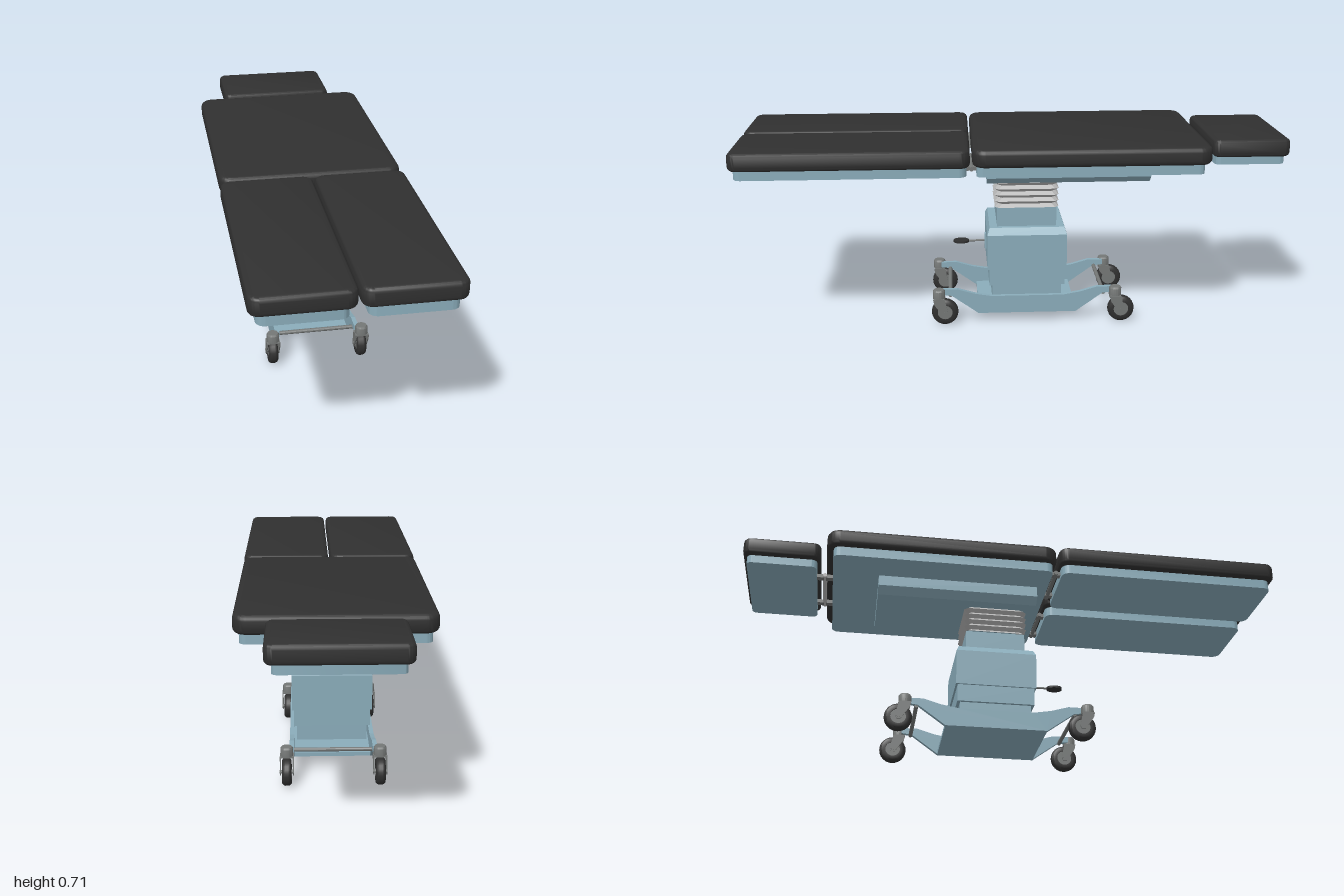
import * as THREE from 'three';
import { toCreasedNormals } from 'three/addons/utils/BufferGeometryUtils.js';

const mat = (name, color) => new THREE.MeshStandardMaterial({ name, color });

export function createModel() {
  const blue = mat('blue enamel', 0x8aacba);
  const black = mat('black vinyl', 0x303030);
  const pale = mat('pale bellows', 0xb4b4b4);
  const grey = mat('grey metal', 0x747776);
  const model = new THREE.Group();
  const CZ = -0.05; // centre of the pedestal along z

  function add(parent, name, geo, material, x = 0, y = 0, z = 0) {
    const m = new THREE.Mesh(geo, material);
    m.name = name;
    m.position.set(x, y, z);
    parent.add(m);
    return m;
  }
  // box given by its limits
  const box = (parent, name, material, x0, x1, y0, y1, z0, z1) =>
    add(parent, name, new THREE.BoxGeometry(x1 - x0, y1 - y0, z1 - z0), material,
      (x0 + x1) / 2, (y0 + y1) / 2, (z0 + z1) / 2);
  // rod lying along x
  const rod = (parent, name, material, r, len, x, y, z) => {
    const g = new THREE.CylinderGeometry(r, r, len, 14);
    g.rotateZ(Math.PI / 2);
    return add(parent, name, toCreasedNormals(g, 0.7), material, x, y, z);
  };

  // upright slab with rounded corners and optional soft edges
  function slab(name, material, x0, x1, y0, y1, z0, z1, r, bevel) {
    const a = x0 + bevel, b = x1 - bevel, c = -z1 + bevel, d = -z0 - bevel;
    const s = new THREE.Shape();
    s.moveTo(a + r, c);
    s.lineTo(b - r, c);
    s.absarc(b - r, c + r, r, -Math.PI / 2, 0);
    s.absarc(b - r, d - r, r, 0, Math.PI / 2);
    s.absarc(a + r, d - r, r, Math.PI / 2, Math.PI);
    s.absarc(a + r, c + r, r, Math.PI, Math.PI * 1.5);
    const g = new THREE.ExtrudeGeometry(s, {
      depth: y1 - y0 - 2 * bevel, curveSegments: 6, bevelEnabled: bevel > 0,
      bevelSize: bevel, bevelThickness: bevel, bevelSegments: 4,
    });
    g.rotateX(-Math.PI / 2);
    return add(model, name, toCreasedNormals(g, 0.7), material, 0, y0 + bevel, 0);
  }

  // cushions on their trays
  slab('mainCushion', black, -0.33, 0.33, 0.645, 0.71, -0.695, 0.155, 0.03, 0.018);
  slab('mainTray', blue, -0.31, 0.31, 0.61, 0.65, -0.67, 0.14, 0.025, 0);
  slab('headCushion', black, -0.222, 0.222, 0.645, 0.71, -1, -0.718, 0.012, 0.016);
  slab('headTray', blue, -0.2, 0.2, 0.615, 0.65, -0.985, -0.73, 0.02, 0);
  for (const s of [-1, 1]) {
    const span = (a, b) => (s > 0 ? [a, b] : [-b, -a]);
    slab('legCushion', black, ...span(0.004, 0.332), 0.645, 0.71, 0.163, 1, 0.02, 0.016);
    slab('legTray', blue, ...span(0.028, 0.308), 0.61, 0.65, 0.175, 0.985, 0.03, 0);
    // hinges between the sections
    rod(model, 'legHinge', grey, 0.008, 0.2, s * 0.17, 0.63, 0.157);
    for (const x of [0.09, 0.25])
      box(model, 'legHingeArm', grey, s * x - 0.012, s * x + 0.012, 0.623, 0.637, 0.13, 0.185);
    box(model, 'headHingeArm', grey, s * 0.1 - 0.012, s * 0.1 + 0.012, 0.623, 0.637, -0.74, -0.66);
  }
  rod(model, 'headHinge', pale, 0.008, 0.24, 0, 0.63, -0.7);

  // chamfered carrier under the main tray
  const carrier = new THREE.Shape([[-0.155, 0.545], [0.155, 0.545], [0.183, 0.57],
    [0.183, 0.612], [-0.183, 0.612], [-0.183, 0.57]].map(p => new THREE.Vector2(...p)));
  add(model, 'tableCarrier', new THREE.ExtrudeGeometry(carrier, { depth: 0.6, bevelEnabled: false }),
    blue, 0, 0, -0.5);

  // square bellows with clipped corners
  const rows = 9;
  let bellows = new THREE.CylinderGeometry(1, 1, 0.107, 8, rows, true, Math.PI / 8);
  const p = bellows.attributes.position;
  for (let i = 0; i < p.count; i++) {
    const row = Math.round((0.0535 - p.getY(i)) / 0.107 * rows);
    const h = row % 2 ? 0.119 : 0.106;
    const move = v => Math.sign(v) * (Math.abs(v) > 0.7 ? h : h - 0.014);
    p.setXYZ(i, move(p.getX(i)), p.getY(i), move(p.getZ(i)));
  }
  bellows = bellows.toNonIndexed();
  bellows.computeVertexNormals();
  add(model, 'bellows', bellows, pale, 0, 0.4925, CZ);

  // telescoping column
  for (const [name, h, y0, y1] of [['innerColumn', 0.111, 0.36, 0.44],
    ['housing', 0.149, 0.205, 0.34], ['lowerHousing', 0.142, 0.14, 0.205],
    ['columnFoot', 0.131, 0.08, 0.14]])
    box(model, name, blue, -h, h, y0, y1, CZ - h, CZ + h);
  // sloped shoulder of the housing
  const shoulder = new THREE.BoxGeometry(0.298, 0.025, 0.298);
  const q = shoulder.attributes.position;
  for (let i = 0; i < q.count; i++)
    if (q.getY(i) > 0) q.setXYZ(i, q.getX(i) * 0.87, q.getY(i), q.getZ(i) * 0.94);
  const shoulderFlat = shoulder.toNonIndexed();
  shoulderFlat.computeVertexNormals();
  add(model, 'housingShoulder', shoulderFlat, blue, 0, 0.3525, CZ);

  // control lever on the front
  box(model, 'leverPlate', blue, -0.011, 0.011, 0.243, 0.303, 0.098, 0.105);
  const stem = new THREE.CylinderGeometry(0.004, 0.004, 0.09, 10);
  stem.rotateX(Math.PI / 2);
  add(model, 'leverRod', stem, grey, 0, 0.273, 0.14);
  const pad = toCreasedNormals(new THREE.CylinderGeometry(0.025, 0.025, 0.008, 20), 0.7);
  add(model, 'leverPad', pad, black, 0, 0.273, 0.195).scale.z = 1.2;

  // base floor, rising side arms and cross bars
  box(model, 'baseFloor', blue, -0.15, 0.15, 0.035, 0.05, CZ - 0.185, CZ + 0.185);
  const half = [[0.185, 0.035], [0.2, 0.046], [0.285, 0.107], [0.325, 0.112],
    [0.325, 0.133], [0.265, 0.133], [0.2, 0.114], [0.135, 0.103]];
  const arm = new THREE.Shape([...half, ...half.slice().reverse().map(([a, b]) => [-a, b])]
    .map(v => new THREE.Vector2(...v)));
  const armGeo = new THREE.ExtrudeGeometry(arm, { depth: 0.016, bevelEnabled: false });
  armGeo.rotateY(-Math.PI / 2);
  for (const s of [-1, 1]) {
    add(model, 'baseArm', armGeo, blue, s * 0.149 + 0.008, 0, CZ);
    rod(model, 'crossBar', grey, 0.0075, 0.3, 0, 0.107, CZ + s * 0.29);
  }

  // swivel casters
  const tyreProfile = [[0.028, -0.017], [0.042, -0.017], [0.048, -0.012], [0.05, -0.005],
    [0.05, 0.005], [0.048, 0.012], [0.042, 0.017], [0.028, 0.017], [0.028, -0.017]];
  let tyre = new THREE.LatheGeometry(tyreProfile.map(v => new THREE.Vector2(...v)), 24);
  tyre.rotateZ(Math.PI / 2);
  tyre = toCreasedNormals(tyre, 0.7);
  const fork = new THREE.Shape([[-0.022, 0.104], [0.022, 0.104], [0.033, 0.05],
    [0.028, 0.038], [0.014, 0.038], [-0.018, 0.085]].map(v => new THREE.Vector2(...v)));
  const forkGeo = new THREE.ExtrudeGeometry(fork, { depth: 0.004, bevelEnabled: false });
  forkGeo.rotateY(Math.PI / 2);
  const capGeo = toCreasedNormals(new THREE.LatheGeometry([[0, 0.104], [0.023, 0.104],
    [0.023, 0.132], [0.019, 0.138], [0, 0.138]].map(v => new THREE.Vector2(...v)), 20), 0.6);
  for (const sx of [-1, 1]) for (const sz of [-1, 1]) {
    const caster = new THREE.Group();
    caster.name = 'caster';
    caster.position.set(sx * 0.167, 0, CZ + sz * 0.333);
    model.add(caster);
    add(caster, 'casterStem', capGeo, grey);
    box(caster, 'forkCrown', grey, -0.025, 0.025, 0.1, 0.105, -0.02, 0.02);
    for (const x of [-0.025, 0.021]) add(caster, 'forkSide', forkGeo, grey, x, 0, 0);
    add(caster, 'tyre', tyre, black, 0, 0.05, -0.022);
    rod(caster, 'wheelHub', grey, 0.029, 0.026, 0, 0.05, -0.022);
    rod(caster, 'wheelAxle', grey, 0.007, 0.052, 0, 0.05, -0.022);
  }
  return model;
}
